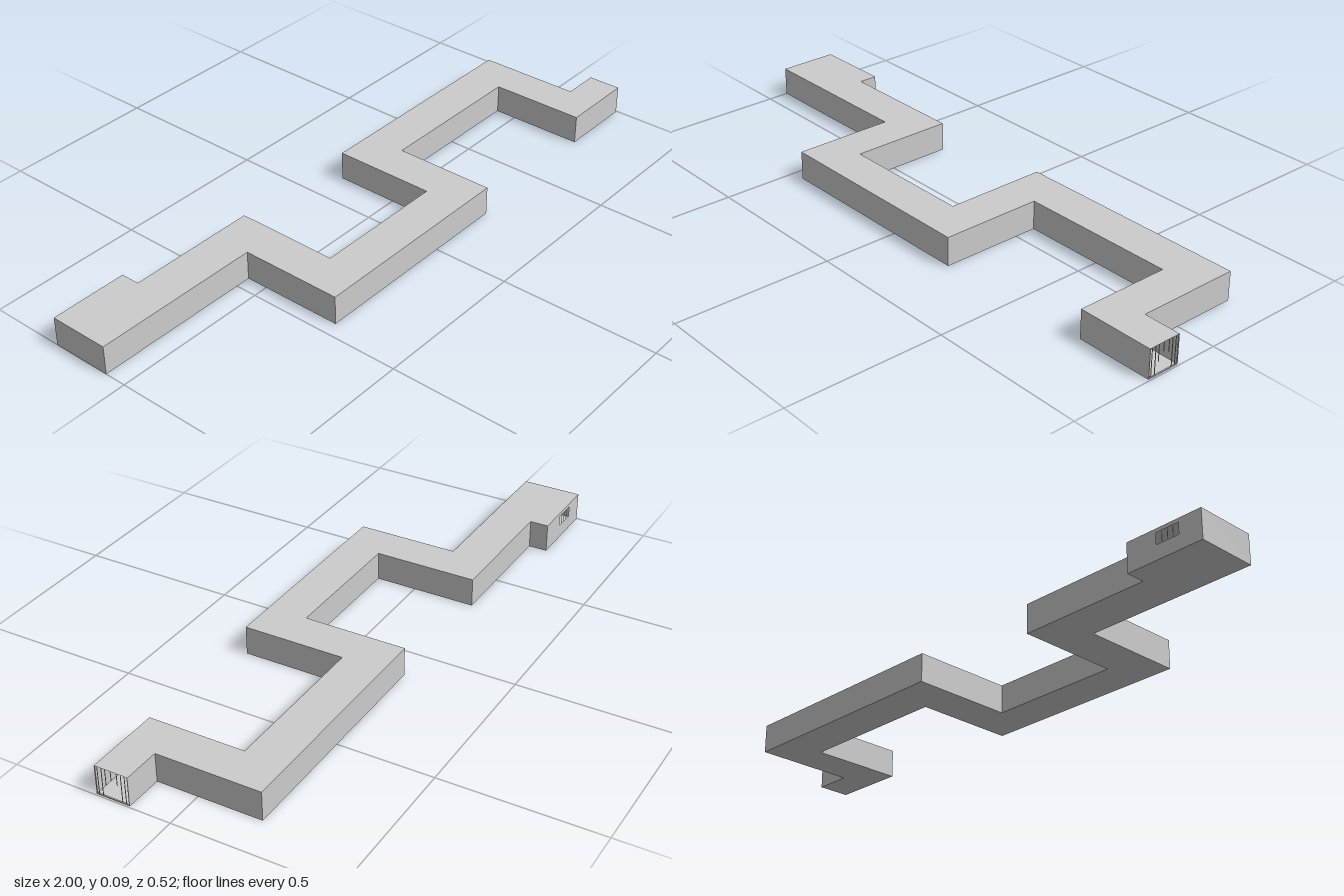
import * as THREE from 'three';

const H = 0.092;
// Plan of the duct as [x, z]; the edge from x=1,z=.13 to x=1,z=.24 is the open end
const PLAN = [
  [-1, -0.26], [-0.75, -0.26], [-0.75, -0.2], [-0.325, -0.2], [-0.325, 0.13], [0.113, 0.13],
  [0.113, -0.2], [0.875, -0.2], [0.875, 0.13], [0.995, 0.13], [0.995, 0.237], [0.75, 0.237],
  [0.75, -0.068], [0.243, -0.068], [0.243, 0.258], [-0.453, 0.258], [-0.453, -0.068], [-1, -0.068],
];
const WINDOW_EDGE = 0, OPEN_EDGE = 9;

function rectangle(x0, y0, x1, y1, Type = THREE.Shape) {
  return new Type([[x0, y0], [x1, y0], [x1, y1], [x0, y1]].map((p) => new THREE.Vector2(...p)));
}

export function createModel() {
  const model = new THREE.Group();
  model.name = 'duct';
  const sheet = new THREE.MeshStandardMaterial({ color: 0xcccccc, side: THREE.DoubleSide });
  const metal = new THREE.MeshStandardMaterial({ color: 0xcccccc });

  const add = (name, geometry, material, x, y, z) => {
    const mesh = new THREE.Mesh(geometry, material);
    mesh.name = name;
    mesh.position.set(x, y, z);
    model.add(mesh);
    return mesh;
  };

  // Floor and ceiling share the winding plan
  const plan = new THREE.Shape(PLAN.map(([x, z]) => new THREE.Vector2(x, z)));
  const slab = new THREE.ShapeGeometry(plan).rotateX(Math.PI / 2);
  add('floor', slab, sheet, 0, 0, 0);
  add('ceiling', slab, sheet, 0, H, 0);

  // One thin wall per plan edge, with a window cut near the closed end
  PLAN.forEach(([x, z], i) => {
    if (i === OPEN_EDGE) return;
    const [nx, nz] = PLAN[(i + 1) % PLAN.length];
    const wall = rectangle(0, 0, Math.hypot(nx - x, nz - z), H);
    if (i === WINDOW_EDGE) wall.holes.push(rectangle(0.075, 0.045, 0.15, 0.08, THREE.Path));
    add('wall', new THREE.ShapeGeometry(wall), sheet, x, 0, z).rotation.y = -Math.atan2(nz - z, nx - x);
  });

  // Thin vertical bars; those in the middle of the open end are broken off
  const bar = (name, x, z, y0, y1, r = 0.0012) =>
    add(name, new THREE.CylinderGeometry(r, r, y1 - y0, 6), metal, x, (y0 + y1) / 2, z);
  const endBars = [[0.235, 0], [0.228, 0], [0.215, 0], [0.203, 0.04], [0.185, 0.063],
    [0.166, 0.052], [0.153, 0], [0.141, 0], [0.132, 0]];
  endBars.forEach(([z, y0]) => bar('endBar', 0.994, z, y0, H));
  for (const x of [-0.906, -0.8875, -0.869]) bar('windowBar', x, -0.259, 0.045, 0.08, 0.001);

  // Sill along the foot of the open end
  add('endSill', new THREE.BoxGeometry(0.004, 0.003, 0.107), metal, 0.993, 0.0015, 0.1835);

  return model;
}
